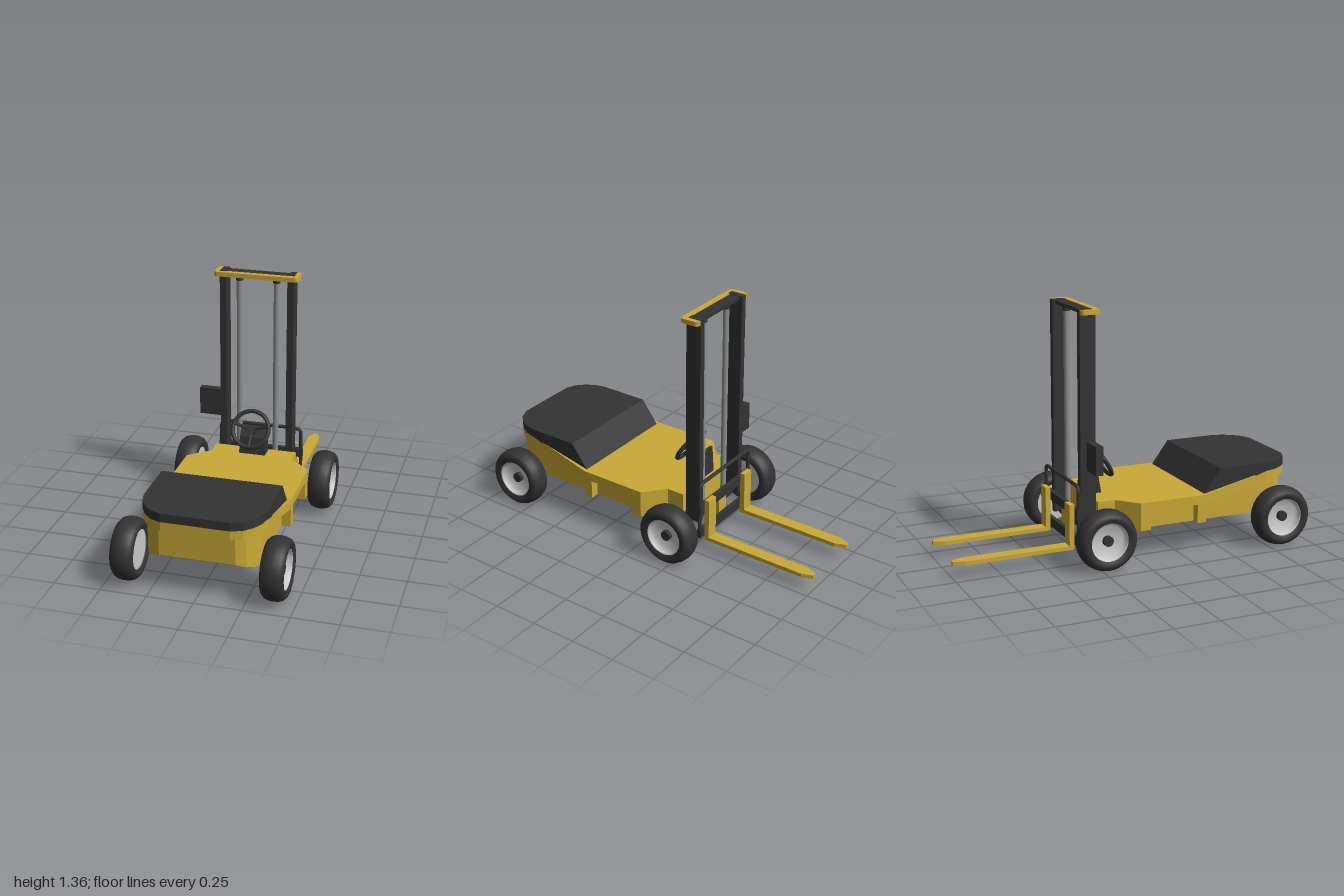
import * as THREE from 'three';

const mat = (name, color, side = THREE.FrontSide) => {
  const m = new THREE.MeshStandardMaterial({ color, side });
  m.name = name;
  return m;
};

export function createModel() {
  const yellow = mat('yellow paint', 0xc9aa36);
  const dark = mat('dark rubber and steel', 0x333333);
  const steel = mat('piston steel', 0x8a8f8f);
  const silver = mat('silver rim', 0xc8c8c8, THREE.DoubleSide);
  const model = new THREE.Group();

  const add = (name, geo, material, parent = model, x = 0, y = 0, z = 0) => {
    const mesh = new THREE.Mesh(geo, material);
    mesh.name = name;
    mesh.position.set(x, y, z);
    parent.add(mesh);
    return mesh;
  };
  // box given by its limits on each axis
  const box = (name, material, x0, x1, y0, y1, z0, z1, parent = model) =>
    add(name, new THREE.BoxGeometry(x1 - x0, y1 - y0, z1 - z0), material, parent,
      (x0 + x1) / 2, (y0 + y1) / 2, (z0 + z1) / 2);

  // rectangular sections along z: [z, half width, bottom, top]
  const loft = (stations) => {
    const pos = [], index = [];
    for (const [z, w, b, t] of stations) pos.push(w, t, z, -w, t, z, -w, b, z, w, b, z);
    for (let i = 0; i < stations.length - 1; i++) {
      for (let k = 0; k < 4; k++) {
        const a = i * 4 + k, c = i * 4 + (k + 1) % 4;
        index.push(a, c, c + 4, a, c + 4, a + 4);
      }
    }
    const e = (stations.length - 1) * 4;
    index.push(3, 2, 1, 3, 1, 0, e, e + 1, e + 2, e, e + 2, e + 3);
    const g = new THREE.BufferGeometry();
    g.setAttribute('position', new THREE.Float32BufferAttribute(pos, 3));
    g.setIndex(index);
    const flat = g.toNonIndexed();
    flat.computeVertexNormals();
    return flat;
  };
  // outline in x,-z pushed up along y
  const slab = (shape, height) =>
    new THREE.ExtrudeGeometry(shape, { depth: height, bevelEnabled: false }).rotateX(-Math.PI / 2);

  // chassis with a step notch on each side
  add('chassis', loft([
    [-0.2, 0.235, 0.17, 0.275], [-0.1, 0.235, 0.17, 0.275], [0, 0.35, 0.17, 0.275],
    [0.06, 0.35, 0.17, 0.275], [0.06, 0.3, 0.17, 0.275], [0.34, 0.3, 0.17, 0.275],
    [0.34, 0.35, 0.17, 0.275], [0.39, 0.35, 0.17, 0.275], [0.39, 0.3, 0.17, 0.275],
    [0.78, 0.3, 0.17, 0.36], [0.85, 0.285, 0.17, 0.36], [0.9, 0.25, 0.19, 0.36],
    [0.93, 0.2, 0.21, 0.36],
  ]), yellow);

  // deck rising to the rear overhang, and the hood on it
  const rear = [[0.78, 0.325], [0.84, 0.31], [0.89, 0.28], [0.93, 0.24], [0.955, 0.18]];
  add('deck', loft([
    [-0.2, 0.235, 0.275, 0.325], [-0.1, 0.235, 0.275, 0.325], [0, 0.35, 0.275, 0.325],
    [0.39, 0.35, 0.275, 0.325], [0.66, 0.33, 0.335, 0.384],
    ...rear.map(([z, w]) => [z, w, 0.36, 0.41]),
  ]), yellow);
  add('hood', loft([
    [0.39, 0.328, 0.32, 0.326], [0.49, 0.328, 0.34, 0.457], [0.72, 0.328, 0.39, 0.457],
    ...rear.map(([z, w]) => [z, w + 0.002, 0.409, 0.457]),
  ]), dark);

  // wheels: axis along x, dished rim on the outer side
  const V = (x, y) => new THREE.Vector2(x, y);
  const lathe = (pts) => new THREE.LatheGeometry(pts.map(([r, h]) => V(r, h)), 28).rotateZ(-Math.PI / 2);
  const tyreGeo = lathe([[0.105, -0.052], [0.125, -0.062], [0.142, -0.06], [0.157, -0.046], [0.165, -0.022],
    [0.167, 0], [0.165, 0.022], [0.157, 0.046], [0.142, 0.06], [0.125, 0.062], [0.105, 0.052]]);
  const dishGeo = lathe([[0.106, 0.052], [0.098, 0.048], [0.088, 0.012], [0, 0.012]]);
  const discGeo = lathe([[0, -0.048], [0.106, -0.048]]);
  const hubGeo = new THREE.CylinderGeometry(0.028, 0.028, 0.03, 20).rotateZ(Math.PI / 2);
  for (const side of [1, -1]) {
    for (const [end, z] of [['rear', -0.22], ['front', 0.83]]) {
      const wheel = new THREE.Group();
      wheel.name = `${end}Wheel${side > 0 ? 'Left' : 'Right'}`;
      wheel.position.set(side * 0.392, 0.167, z);
      if (side < 0) wheel.rotation.y = Math.PI;
      add('tyre', tyreGeo, dark, wheel);
      add('rimDish', dishGeo, silver, wheel);
      add('rimInnerDisc', discGeo, silver, wheel);
      add('hub', hubGeo, dark, wheel, 0.02);
      model.add(wheel);
    }
  }

  // mast
  const mast = new THREE.Group();
  mast.name = 'mast';
  model.add(mast);
  for (const s of [1, -1]) {
    const x = s * 0.19;
    box('mastUpright', dark, x - 0.018, x + 0.018, 0.165, 1.36, -0.288, -0.2, mast);
    add('liftPiston', new THREE.CylinderGeometry(0.016, 0.016, 1.13, 20), steel, mast, s * 0.105, 0.75, -0.235);
    add('pistonCap', new THREE.CylinderGeometry(0.02, 0.02, 0.03, 20), dark, mast, s * 0.105, 1.322, -0.235);
  }
  box('mastTopBeam', dark, -0.18, 0.18, 1.337, 1.357, -0.272, -0.212, mast);
  box('mastFootBeam', dark, -0.18, 0.18, 0.157, 0.19, -0.26, -0.205, mast);

  // rounded bracket wrapping the mast top, open at the fork side
  const cap = new THREE.Shape();
  cap.moveTo(-0.208, 0.288);
  cap.quadraticCurveTo(-0.235, 0.288, -0.235, 0.265);
  cap.lineTo(-0.235, 0.2);
  cap.quadraticCurveTo(-0.235, 0.178, -0.213, 0.178);
  cap.lineTo(0.213, 0.178);
  cap.quadraticCurveTo(0.235, 0.178, 0.235, 0.2);
  cap.lineTo(0.235, 0.265);
  cap.quadraticCurveTo(0.235, 0.288, 0.208, 0.288);
  cap.lineTo(0.208, 0.21);
  cap.lineTo(-0.208, 0.21);
  cap.closePath();
  add('mastTopBracket', slab(cap, 0.025), yellow, mast, 0, 1.335, 0);
  box('controlBox', dark, -0.333, -0.2, 0.5, 0.657, -0.252, -0.21, mast);

  // fork carriage
  const carriage = new THREE.Group();
  carriage.name = 'forkCarriage';
  model.add(carriage);
  box('carriageLowerBar', dark, -0.247, 0.247, 0.095, 0.147, -0.325, -0.302, carriage);
  box('carriageUpperBar', dark, -0.247, 0.247, 0.25, 0.3, -0.325, -0.302, carriage);
  const frame = new THREE.CurvePath();
  const P = (x, y) => new THREE.Vector3(x, y, -0.312);
  frame.add(new THREE.LineCurve3(P(-0.236, 0.12), P(-0.236, 0.39)));
  frame.add(new THREE.QuadraticBezierCurve3(P(-0.236, 0.39), P(-0.236, 0.425), P(-0.2, 0.425)));
  frame.add(new THREE.LineCurve3(P(-0.2, 0.425), P(0.2, 0.425)));
  frame.add(new THREE.QuadraticBezierCurve3(P(0.2, 0.425), P(0.236, 0.425), P(0.236, 0.39)));
  frame.add(new THREE.LineCurve3(P(0.236, 0.39), P(0.236, 0.12)));
  add('carriageGuard', new THREE.TubeGeometry(frame, 80, 0.01, 10), dark, carriage);
  box('carriageBracket', yellow, -0.035, 0.035, 0.095, 0.26, -0.302, -0.27, carriage);

  // forks with tapered tips
  const fork = new THREE.Shape([V(-0.034, 0.326), V(0.034, 0.326), V(0.034, 0.935),
    V(0.012, 0.997), V(-0.012, 0.997), V(-0.034, 0.935)]);
  const forkGeo = slab(fork, 0.022);
  for (const s of [1, -1]) {
    add('forkBlade', forkGeo, yellow, carriage, s * 0.175, 0.069, 0);
    box('forkShank', yellow, s * 0.175 - 0.034, s * 0.175 + 0.034, 0.07, 0.32, -0.353, -0.325, carriage);
  }

  // steering pedestal and wheel
  const pedestal = new THREE.Shape([V(0.11, 0.32), V(0.19, 0.32), V(0.18, 0.475), V(0.165, 0.475), V(0.128, 0.42)]);
  add('steeringPedestal', new THREE.ExtrudeGeometry(pedestal, { depth: 0.15, bevelEnabled: false })
    .rotateY(Math.PI / 2), dark, model, -0.075, 0, 0);
  const steering = new THREE.Group();
  steering.name = 'steeringWheel';
  steering.position.set(0, 0.49, -0.086);
  steering.rotation.x = -0.55;
  add('steeringRim', new THREE.TorusGeometry(0.103, 0.012, 10, 36), dark, steering);
  const hub = add('steeringHub', new THREE.CylinderGeometry(0.026, 0.026, 0.02, 18), dark, steering, 0, 0, -0.02);
  hub.rotation.x = Math.PI / 2;
  for (const a of [0.25, Math.PI - 0.25, -Math.PI / 2]) {
    const end = new THREE.Vector3(Math.cos(a) * 0.1, Math.sin(a) * 0.1, 0);
    const line = new THREE.LineCurve3(new THREE.Vector3(0, 0, -0.02), end);
    add('steeringSpoke', new THREE.TubeGeometry(line, 1, 0.008, 8), dark, steering);
  }
  const shaft = add('steeringShaft', new THREE.CylinderGeometry(0.014, 0.014, 0.1, 14), dark, steering, 0, 0, -0.065);
  shaft.rotation.x = Math.PI / 2;
  model.add(steering);

  return model;
}
